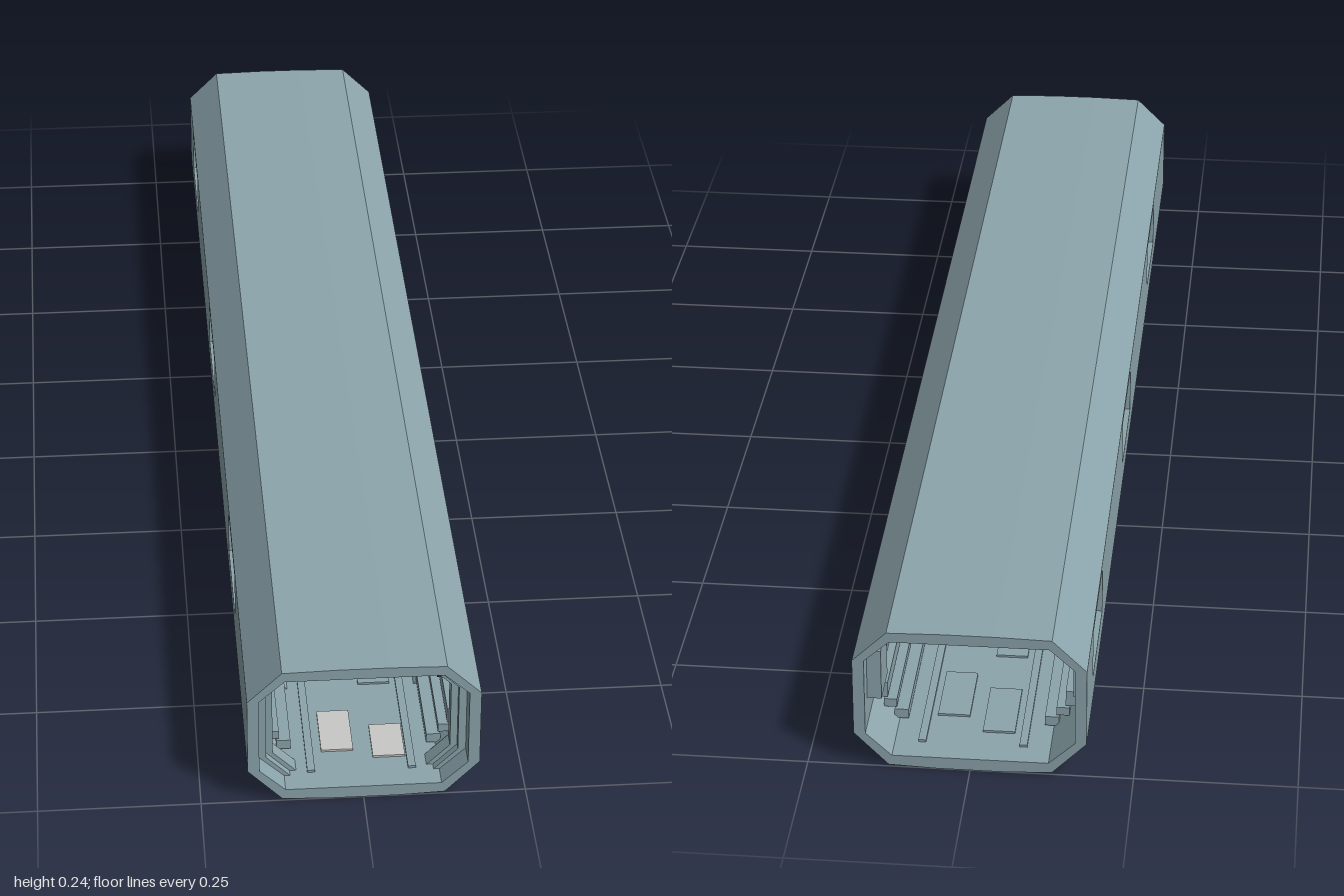
import * as THREE from 'three';

const mat = (name, color) => Object.assign(new THREE.MeshStandardMaterial({ color }), { name });

export function createModel() {
  const root = new THREE.Group();
  root.name = 'corridor';
  const hull = mat('blue grey hull', 0x8ca5ac);
  const light = mat('light tile', 0xc8c8c6);
  const teal = mat('teal', 0x1f6f6b);
  const darkTeal = mat('dark teal', 0x124543);
  const steel = mat('steel', 0xa6a6a5);
  const black = mat('black trim', 0x262829);

  const add = (name, geo, m, x = 0, y = 0, z = 0, parent = root) => {
    const mesh = new THREE.Mesh(geo, m);
    mesh.name = name;
    mesh.position.set(x, y, z);
    parent.add(mesh);
    return mesh;
  };
  const box = (name, w, h, d, m, x, y, z, parent) =>
    add(name, new THREE.BoxGeometry(w, h, d), m, x, y, z, parent);
  const poly = pts => new THREE.Shape(pts.map(p => new THREE.Vector2(...p)));
  // mirror a right-hand run of points to close a symmetric outline
  const mirrored = pts => poly([...pts, ...pts.slice().reverse().map(([x, y]) => [-x, y])]);
  const rect = (x0, y0, x1, y1) => [[x0, y0], [x1, y0], [x1, y1], [x0, y1]];
  const extrude = (shape, depth, opts = {}) =>
    new THREE.ExtrudeGeometry(shape, { depth, bevelEnabled: false, ...opts });

  // Outer shell: bottom trough, roof, and side walls pierced by windows
  const windows = [[0.46, 0.652], [-0.21, -0.015], [-0.875, -0.682]];
  const floorY = 0.02;
  add('roof', extrude(poly([
    [0.178, 0.188], [0.125, 0.24], [0.04, 0.242], [-0.04, 0.242], [-0.125, 0.24], [-0.178, 0.188],
    [-0.16, 0.188], [-0.121, 0.224], [0.121, 0.224], [0.16, 0.188],
  ]), 2), hull, 0, 0, -1);
  add('bottom', extrude(poly([
    [-0.178, 0.058], [-0.125, 0.003], [-0.05, 0], [0.05, 0], [0.125, 0.003], [0.178, 0.058],
    [0.16, 0.058], [0.12, floorY], [-0.12, floorY], [-0.16, 0.058],
  ]), 2), hull, 0, 0, -1);

  const wallShape = poly(rect(-1, 0.058, 1, 0.188));
  for (const [a, b] of windows) wallShape.holes.push(poly(rect(a, 0.098, b, 0.178)));
  for (const s of [1, -1]) {
    const wall = add('sideWall', extrude(wallShape, 0.018), hull, s > 0 ? 0.178 : -0.16, 0, 0);
    wall.rotation.y = -Math.PI / 2;
    // inner window surrounds
    for (const [a, b] of windows) {
      const surround = poly(rect(a - 0.03, 0.08, b + 0.03, 0.192));
      surround.holes.push(poly(rect(a, 0.098, b, 0.178)));
      const f = add('windowSurround', extrude(surround, 0.01), hull, s > 0 ? 0.16 : -0.15, 0, 0);
      f.rotation.y = -Math.PI / 2;
    }
  }

  // Octagonal ribs, stepped inward from the shell
  const octagon = (hx, top, c, bc) => [[hx - bc, floorY], [hx, floorY + bc], [hx, top - c], [hx - c, top]];
  const ribShape = (hx, top, c, bc, notch) => {
    const s = mirrored(octagon(0.162, 0.226, 0.042, 0.04));
    const inner = octagon(hx, top, c, bc);
    if (notch) inner.push([0.055, top], [0.055, 0.21]);
    s.holes.push(mirrored(inner));
    return s;
  };
  const rib = (hx, top, c, bc, notch, depth, z) =>
    add('rib', extrude(ribShape(hx, top, c, bc, notch), depth), hull, 0, 0, z - depth / 2);
  for (const z of [0.94, 0.73, 0.38, 0.08, -0.3, -0.6]) {
    rib(0.148, 0.21, 0.036, 0.037, false, 0.05, z);
    rib(0.137, 0.201, 0.029, 0.036, true, 0.026, z);
  }

  // Ledges and ceiling strips running down both sides
  for (const s of [1, -1]) {
    box('ceilingStrip', 0.05, 0.018, 1.8, hull, s * 0.082, 0.212, 0);
    box('lowerLedge', 0.02, 0.026, 1.8, hull, s * 0.148, 0.073, 0);
    box('floorStep', 0.022, 0.016, 1.8, hull, s * 0.117, 0.03, 0);
    box('skirtStep', 0.02, 0.014, 1.8, hull, s * 0.134, 0.049, 0);
    box('floorChannel', 0.012, 0.004, 1.92, hull, s * 0.078, 0.022, 0);
    for (const z of [0.78, 0.23, -0.45]) box('wallHandle', 0.008, 0.008, 0.05, black, s * 0.136, 0.081, z);
    // sloped panels between ribs, above the windows
    for (const [z, len] of [[0.835, 0.14], [0.555, 0.27], [0.23, 0.22], [-0.11, 0.3], [-0.45, 0.22], [-0.78, 0.27]]) {
      const p = box('slopedPanel', 0.042, 0.008, len, hull, s * 0.137, 0.199, z);
      p.rotation.z = -s * Math.PI / 4;
    }
    // wall panels between the windows
    for (const [z, len] of [[0.83, 0.13], [0.23, 0.22], [-0.45, 0.22]])
      box('wallPanel', 0.01, 0.09, len, hull, s * 0.155, 0.135, z);
  }
  box('wallCabinet', 0.022, 0.085, 0.07, hull, 0.149, 0.145, -0.935);
  for (let i = 0; i < 13; i++) box('ceilingBeam', 0.112, 0.008, 0.03, hull, 0, 0.219, -0.9 + i * 0.15);

  // Raised floor plates, with a few light tiles among them
  for (let i = 0; i < 8; i++) {
    const z = 0.66 - i * 0.215;
    for (const s of [1, -1]) box('floorPlate', 0.05, 0.004, 0.12, hull, s * 0.037, 0.0215, z + s * 0.02);
  }
  for (const [x, z, w, d] of [
    [-0.034, 0.86, 0.05, 0.1], [0.045, 0.89, 0.05, 0.08], [0.094, 0.5, 0.018, 0.08],
    [-0.094, 0.06, 0.018, 0.08], [-0.094, 0.6, 0.018, 0.08],
  ]) box('lightTile', w, 0.004, d, light, x, 0.0215, z);

  // Hollow table with a thin rounded frame
  const roundRect = (hw, y0, y1, r) => {
    const s = new THREE.Shape();
    s.moveTo(-hw + r, y0).lineTo(hw - r, y0).quadraticCurveTo(hw, y0, hw, y0 + r)
      .lineTo(hw, y1 - r).quadraticCurveTo(hw, y1, hw - r, y1)
      .lineTo(-hw + r, y1).quadraticCurveTo(-hw, y1, -hw, y1 - r)
      .lineTo(-hw, y0 + r).quadraticCurveTo(-hw, y0, -hw + r, y0);
    return s;
  };
  const frame = roundRect(0.05, 0.021, 0.072, 0.008);
  frame.holes.push(roundRect(0.0472, 0.0235, 0.0692, 0.006));
  const table = new THREE.Group();
  table.name = 'table';
  table.position.z = 0.04;
  root.add(table);
  for (const z of [-0.06, 0.055]) add('tableFrame', extrude(frame, 0.005, { curveSegments: 4 }), black, 0, 0, z, table);
  box('tableTop', 0.088, 0.002, 0.112, steel, 0, 0.0706, 0, table);
  box('tableTool', 0.01, 0.004, 0.014, black, 0.012, 0.0738, 0.02, table);

  // Small lamp on a curling cable above the table
  const v = (x, y, z) => new THREE.Vector3(x, y, z);
  add('lampCable', new THREE.TubeGeometry(new THREE.CatmullRomCurve3([
    v(-0.036, 0.072, 0), v(-0.027, 0.08, 0), v(-0.028, 0.09, 0), v(-0.038, 0.095, 0), v(-0.034, 0.104, 0),
  ]), 20, 0.0007, 6), black, 0, 0, -0.01);
  const lamp = add('lampHead', new THREE.SphereGeometry(0.015, 14, 8), steel, -0.034, 0.104, -0.01);
  lamp.scale.y = 0.3;

  // Leaning console pillar with instruments on top
  const consoleGroup = new THREE.Group();
  consoleGroup.name = 'console';
  consoleGroup.position.set(-0.1, 0.017, 0.25);
  consoleGroup.rotation.z = -0.12;
  root.add(consoleGroup);
  const pillar = box('consolePillar', 0.025, 0.086, 0.025, teal, 0, 0.046, 0, consoleGroup);
  pillar.rotation.y = 0.6;
  const cap = add('consoleTop', new THREE.CylinderGeometry(0.023, 0.02, 0.005, 8), darkTeal, 0, 0.091, 0, consoleGroup);
  cap.rotation.z = 0.06;
  for (const [x, h, r] of [[-0.012, 0.018, 0.009], [0.015, 0.012, 0.005]]) {
    add('instrumentStem', new THREE.CylinderGeometry(0.0012, 0.0012, h, 6), black, x, 0.094 + h / 2, 0, consoleGroup);
    add('instrumentHead', new THREE.CylinderGeometry(r, r * 0.6, 0.005, 12), steel, x, 0.095 + h, 0, consoleGroup);
  }

  // Large upright ring machine with a teal base behind it
  const machine = new THREE.Group();
  machine.name = 'ringMachine';
  machine.position.set(0.098, 0.077, -0.26);
  machine.rotation.set(0, -0.85, -0.08);
  root.add(machine);
  add('outerRing', new THREE.TorusGeometry(0.038, 0.0115, 14, 40), steel, 0, 0, 0, machine);
  for (const z of [-0.009, 0.009])
    add('ringBand', new THREE.TorusGeometry(0.035, 0.004, 8, 40), steel, 0, 0, z, machine);
  for (const a of [0.9, 3.1, 5.3]) {
    const b = box('ringClamp', 0.01, 0.012, 0.02, steel, Math.cos(a) * 0.046, Math.sin(a) * 0.046, 0, machine);
    b.rotation.z = a;
  }
  box('ringBase', 0.034, 0.034, 0.05, teal, 0.084, 0.037, -0.315);
  box('ringControl', 0.018, 0.014, 0.02, steel, 0.06, 0.07, -0.28);

  return root;
}
